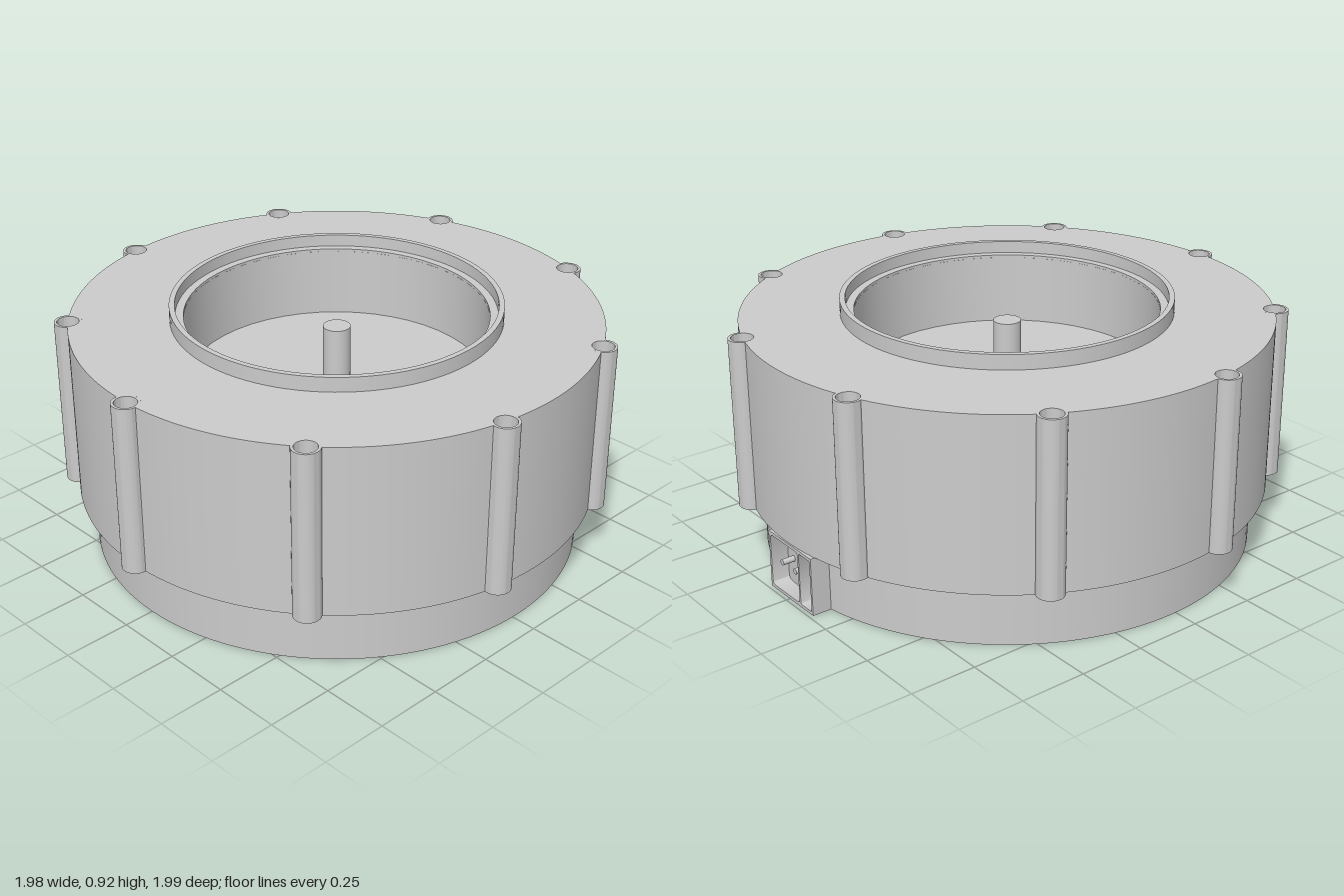
import * as THREE from 'three';
import { toCreasedNormals } from 'three/addons/utils/BufferGeometryUtils.js';

const material = new THREE.MeshStandardMaterial({ color: 0xcccccc });
const CX = 0.02;              // housing axis
const R = 0.96;               // housing radius, also the bolt circle
const BASE_TOP = 0.22, BODY_TOP = 0.86;
const TUBES = 9, TUBE_R = 0.05, BORE_R = 0.04;
const PIT_R = 0.55, FLOOR_Y = 0.6;

function add(parent, name, geometry, x = 0, y = 0, z = 0) {
  const mesh = new THREE.Mesh(geometry, material);
  mesh.name = name;
  mesh.position.set(x, y, z);
  parent.add(mesh);
  return mesh;
}

function extrude(shape, depth, curveSegments) {
  const g = new THREE.ExtrudeGeometry(shape, { depth, curveSegments, bevelEnabled: false });
  return toCreasedNormals(g, 0.6);
}

function circlePath(r, Type = THREE.Path) {
  return new Type().absarc(0, 0, r, 0, Math.PI * 2, false);
}

function roundedRect(u0, v0, u1, v1, r) {
  const p = new THREE.Path();
  p.absarc(u1 - r, v0 + r, r, -Math.PI / 2, 0, false);
  p.absarc(u1 - r, v1 - r, r, 0, Math.PI / 2, false);
  p.absarc(u0 + r, v1 - r, r, Math.PI / 2, Math.PI, false);
  p.absarc(u0 + r, v0 + r, r, Math.PI, Math.PI * 1.5, false);
  p.closePath();
  return p;
}

// Round body outline with a notch for every bolt tube
function bodyShape() {
  const s = new THREE.Shape();
  const step = (Math.PI * 2) / TUBES;
  const half = 2 * Math.asin(TUBE_R / (2 * R));
  const swing = Math.PI / 2 + half / 2;
  for (let i = 0; i < TUBES; i++) {
    const t = Math.PI + i * step;
    s.absarc(R * Math.cos(t), R * Math.sin(t), TUBE_R, t - swing, t + swing, true);
    s.absarc(0, 0, R, t + half, t + step - half, false);
  }
  s.holes.push(circlePath(PIT_R));
  return s;
}

export function createModel() {
  const model = new THREE.Group();
  model.name = 'motorHousing';
  const housing = new THREE.Group();
  housing.name = 'housing';
  housing.position.x = CX;
  model.add(housing);

  // Base and main body
  add(housing, 'base', new THREE.CylinderGeometry(0.905, 0.905, BASE_TOP, 128), 0, BASE_TOP / 2);
  const body = extrude(bodyShape(), BODY_TOP - BASE_TOP, 24).rotateX(-Math.PI / 2);
  add(housing, 'body', body, 0, BASE_TOP);

  // Recess floor and central shaft
  add(housing, 'recessFloor', new THREE.CylinderGeometry(PIT_R, PIT_R, FLOOR_Y - 0.2, 96), 0, (FLOOR_Y + 0.2) / 2);
  add(housing, 'shaft', new THREE.CylinderGeometry(0.05, 0.05, 0.22, 32), 0, FLOOR_Y + 0.1);

  // Raised rim with an inner ledge
  const rim = [[0.6, 0.85], [0.6, 0.915], [0.58, 0.915], [0.58, 0.87], [PIT_R, 0.87], [PIT_R, 0.85]]
    .map(([x, y]) => new THREE.Vector2(x, y));
  add(housing, 'rim', toCreasedNormals(new THREE.LatheGeometry(rim.reverse(), 96), 0.6)).material =
    new THREE.MeshStandardMaterial({ color: 0xcccccc, side: THREE.DoubleSide });

  // Hollow bolt tubes around the body
  const ring = circlePath(TUBE_R, THREE.Shape);
  ring.holes.push(circlePath(BORE_R));
  const tube = extrude(ring, BODY_TOP - BASE_TOP, 32).rotateX(-Math.PI / 2);
  for (let i = 0; i < TUBES; i++) {
    const t = Math.PI + (i * Math.PI * 2) / TUBES;
    add(housing, 'boltTube', tube, R * Math.cos(t), BASE_TOP, R * Math.sin(t));
  }

  // Two-bay connector on the side, with a pair of pins
  const connector = new THREE.Group();
  connector.name = 'connector';
  model.add(connector);
  const frame = new THREE.Shape();
  frame.moveTo(-0.12, 0).lineTo(0.15, 0).lineTo(0.15, 0.22).lineTo(-0.12, 0.22).closePath();
  frame.holes.push(roundedRect(-0.11, 0.012, 0.065, 0.208, 0.015));
  frame.holes.push(roundedRect(0.073, 0.012, 0.141, 0.208, 0.006));
  add(connector, 'connectorFrame', extrude(frame, 0.085, 6).rotateY(Math.PI / 2), 0.9);
  const pin = new THREE.CylinderGeometry(0.011, 0.011, 0.07, 16).rotateZ(Math.PI / 2);
  for (const z of [0.065, -0.018]) add(connector, 'connectorPin', pin, 0.935, 0.11, z);

  return model;
}
